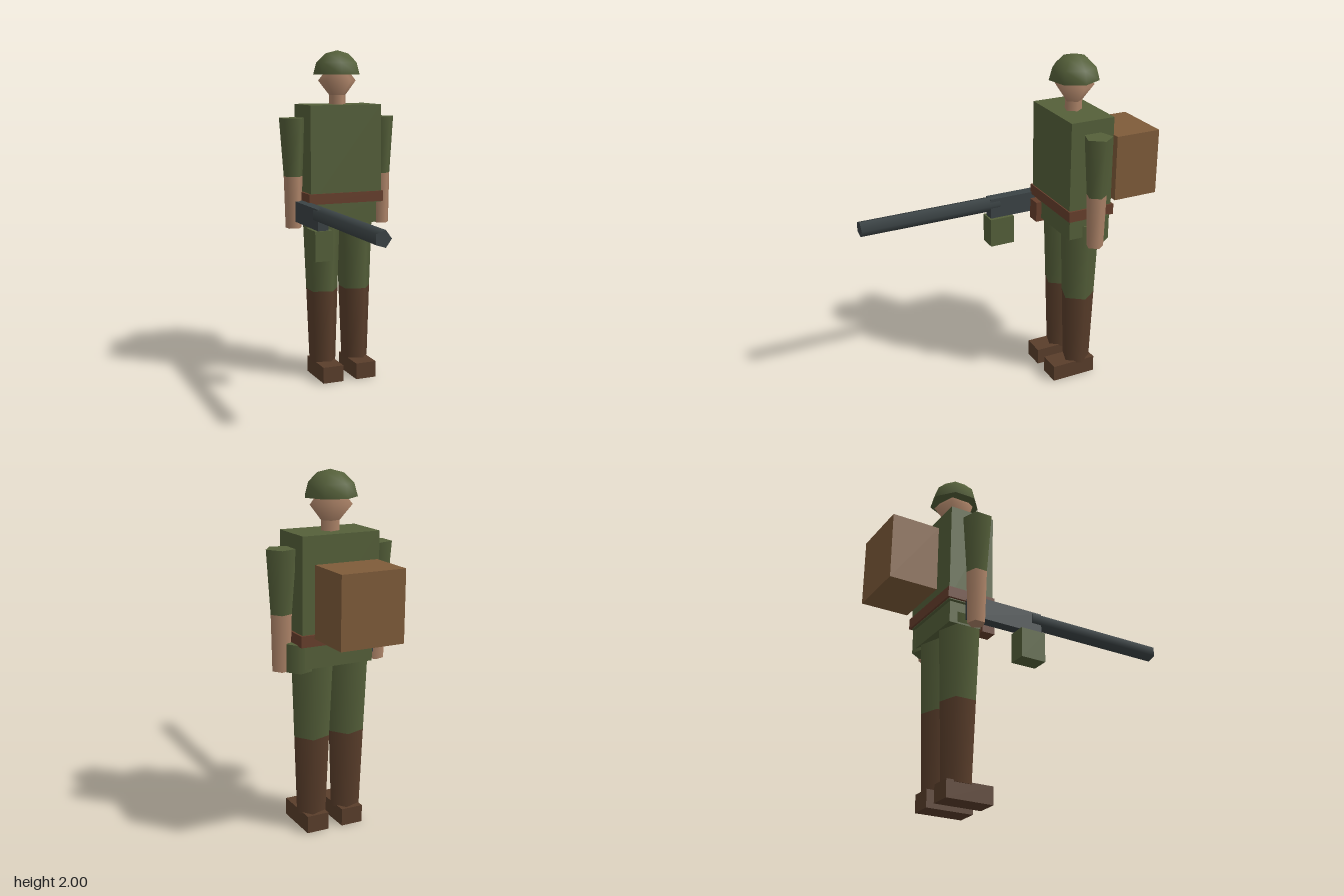
import * as THREE from 'three';

const mat = (name, color) => Object.assign(new THREE.MeshStandardMaterial({ color }), { name });

export function createModel() {
  const green = mat('olive green', 0x55603a);
  const skin = mat('skin', 0xb0866a);
  const bootBrown = mat('boot brown', 0x5a3e2b);
  const leather = mat('belt leather', 0x673f2c);
  const canvas = mat('pack canvas', 0x7f5c3a);
  const steel = mat('gun steel', 0x3b4345);

  const model = new THREE.Group();
  const CX = -0.01, CZ = -0.375; // body axis

  const add = (name, geometry, material, x = 0, y = 0, z = 0, parent = model) => {
    const mesh = new THREE.Mesh(geometry, material);
    mesh.name = name;
    mesh.position.set(x, y, z);
    parent.add(mesh);
    return mesh;
  };
  // Box given by its extents
  const box = (name, material, [x0, x1], [y0, y1], [z0, z1], parent) =>
    add(name, new THREE.BoxGeometry(x1 - x0, y1 - y0, z1 - z0), material,
      (x0 + x1) / 2, (y0 + y1) / 2, (z0 + z1) / 2, parent);
  // Five-sided tapered tube with one corner towards +x
  const tube = (name, material, x, z, [yTop, rTop], [yBottom, rBottom], parent) =>
    add(name, new THREE.CylinderGeometry(rTop, rBottom, yTop - yBottom, 5, 1, false, Math.PI / 2),
      material, x, (yTop + yBottom) / 2, z, parent);

  // Body
  box('torso', green, [-0.236, 0.218], [1.09, 1.68], [-0.51, -0.24]);
  box('belt', leather, [-0.25, 0.23], [1.095, 1.158], [-0.522, -0.233]);
  box('hips', green, [-0.214, 0.194], [0.965, 1.1], [-0.493, -0.257]);
  box('beltPouch', leather, [-0.235, -0.155], [0.945, 1.07], [-0.3, -0.223]);
  tube('canteen', green, 0.2, -0.43, [1.1, 0.073], [0.945, 0.073]);
  box('backpack', canvas, [-0.192, 0.175], [1.15, 1.54], [-0.845, -0.565]);

  // Limbs
  for (const [side, s] of [['left', 1], ['right', -1]]) {
    const arm = new THREE.Group();
    arm.name = side + 'Arm';
    const ax = CX + s * 0.289;
    tube('sleeve', green, ax, CZ, [1.603, 0.084], [1.255, 0.059], arm);
    tube('forearm', skin, ax, CZ, [1.255, 0.059], [0.943, 0.051], arm);

    const leg = new THREE.Group();
    leg.name = side + 'Leg';
    const lx = CX + s * 0.108;
    tube('trouser', green, lx, CZ, [1.035, 0.121], [0.548, 0.102], leg);
    tube('bootShaft', bootBrown, lx, CZ, [0.548, 0.102], [0.09, 0.085], leg);
    box('bootFoot', bootBrown, [lx - 0.065, lx + 0.065], [0, 0.1], [-0.47, -0.192], leg);
    model.add(arm, leg);
  }

  // Head: neck and a faceted double cone
  tube('neck', skin, CX, CZ, [1.74, 0.052], [1.67, 0.052]);
  const head = add('head', new THREE.SphereGeometry(0.12, 5, 2, Math.PI), skin, CX, 1.82, CZ);
  head.scale.y = 1.25;

  // Helmet dome with closed underside
  const helmet = new THREE.Group();
  helmet.name = 'helmet';
  helmet.position.set(CX, 1.857, CZ);
  const R = 0.146;
  add('helmetDome', new THREE.SphereGeometry(R, 7, 3, Math.PI, Math.PI * 2, 0, Math.PI / 2), green, 0, 0, 0, helmet)
    .scale.y = 0.143 / R;
  add('helmetUnderside', new THREE.CircleGeometry(R, 7).rotateX(Math.PI / 2), green, 0, 0, 0, helmet);
  model.add(helmet);

  // Gun held at the right hip
  const gun = new THREE.Group();
  gun.name = 'gun';
  const barrel = tube('barrel', steel, -0.271, 0, [0.433, 0.047], [-0.433, 0.047], gun);
  barrel.rotation.x = Math.PI / 2;
  barrel.position.set(-0.271, 1.07, 0.412);
  box('receiver', steel, [-0.303, -0.238], [0.985, 1.108], [-0.41, 0.04], gun);
  box('magazine', green, [-0.323, -0.216], [0.81, 0.985], [-0.102, 0.05], gun);
  model.add(gun);

  return model;
}
